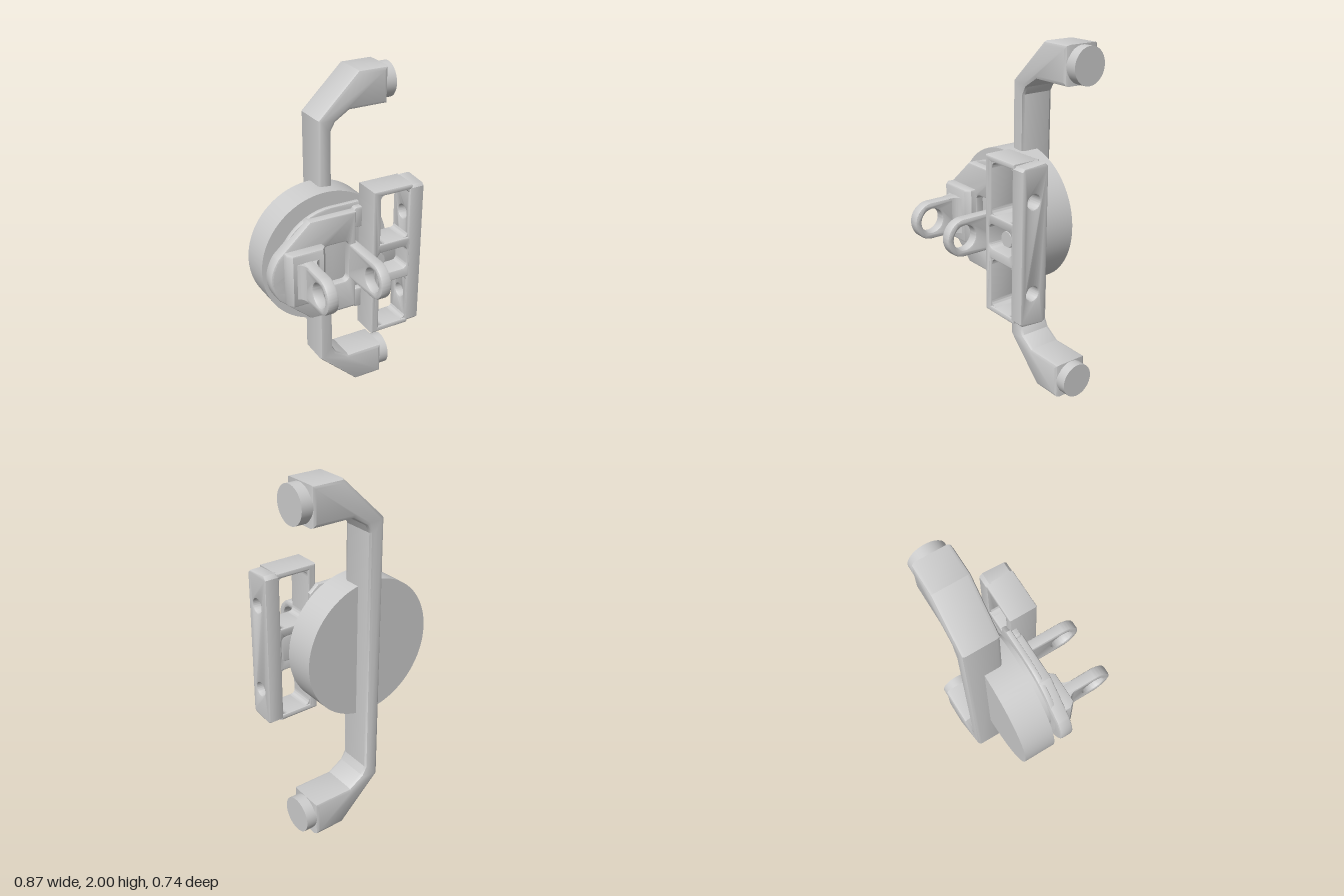
import * as THREE from 'three';
import { toCreasedNormals } from 'three/addons/utils/BufferGeometryUtils.js';

const CX = -0.046; // disc axis in x
const CY = 1;      // mirror height

export function createModel() {
  const model = new THREE.Group();
  const material = new THREE.MeshStandardMaterial({ color: 0xcccccc });

  const add = (name, geometry, x = 0, y = 0, z = 0) => {
    const mesh = new THREE.Mesh(geometry, material);
    mesh.name = name;
    mesh.position.set(x, y, z);
    model.add(mesh);
    return mesh;
  };
  const poly = (points) => new THREE.Shape(points.map(([x, y]) => new THREE.Vector2(x, y)));
  const circle = (x, y, r) => new THREE.Path().absarc(x, y, r, 0, Math.PI * 2, true);
  const roundRect = (x0, y0, x1, y1, r) => {
    const s = new THREE.Shape();
    s.absarc(x1 - r, y1 - r, r, 0, Math.PI / 2);
    s.absarc(x0 + r, y1 - r, r, Math.PI / 2, Math.PI);
    s.absarc(x0 + r, y0 + r, r, Math.PI, Math.PI * 1.5);
    s.absarc(x1 - r, y0 + r, r, Math.PI * 1.5, Math.PI * 2);
    s.closePath();
    return s;
  };
  // Extrude from a to b along z, with an inset edge bevel
  const slab = (shape, a, b, bevel = 0) => {
    const g = new THREE.ExtrudeGeometry(shape, {
      depth: b - a - 2 * bevel, curveSegments: 24, bevelEnabled: bevel > 0,
      bevelSize: bevel, bevelThickness: bevel, bevelOffset: -bevel, bevelSegments: 2,
    });
    g.translate(0, 0, a + bevel);
    return toCreasedNormals(g, 0.5);
  };
  // Shape drawn in (-z, y), extruded along x
  const slabX = (shape, a, b, bevel = 0) => slab(shape, a, b, bevel).rotateY(Math.PI / 2);
  // Shape drawn in (x, z), extruded along y
  const slabY = (shape, a, b, bevel = 0) => slab(shape, -b, -a, bevel).rotateX(Math.PI / 2);

  // Long handle with bent ends
  const half = [[0.035, 1.695], [0.06, 1.74], [0.145, 1.793], [0.38, 1.793],
    [0.38, 2], [0.2, 2], [-0.045, 1.765]];
  const lower = half.map(([x, y]) => [x, 2 * CY - y]).reverse();
  add('handle', slab(poly([...half, ...lower]), -0.37, -0.16, 0.02));
  for (const s of [-1, 1]) {
    const pad = new THREE.CylinderGeometry(0.1, 0.1, 0.067, 48).rotateZ(Math.PI / 2);
    add(s > 0 ? 'upperPad' : 'lowerPad', pad, 0.4035, CY + s * 0.895, -0.265);
  }

  // Stacked discs
  const disc = (name, r, z0, z1) => add(name,
    new THREE.CylinderGeometry(r, r, z1 - z0, 72).rotateX(Math.PI / 2), CX, CY, (z0 + z1) / 2);
  disc('mainDisc', 0.391, -0.27, -0.09);
  disc('spacerDisc', 0.285, -0.095, -0.04);

  // Base plate, round on one side
  const base = new THREE.Shape();
  base.absarc(CX, CY, 0.333, Math.PI / 2, Math.PI * 1.5);
  base.lineTo(0.12, CY - 0.333);
  base.lineTo(0.17, CY - 0.29);
  base.lineTo(0.17, CY + 0.29);
  base.lineTo(0.12, CY + 0.333);
  add('basePlate', slab(base, -0.045, -0.015, 0.006));

  // Raised plate with a pointed nose and a square pocket
  const raised = new THREE.Shape();
  raised.moveTo(0.08, CY - 0.3);
  raised.lineTo(0.08, CY + 0.3);
  raised.lineTo(-0.2, CY + 0.3);
  raised.lineTo(-0.39, CY + 0.13);
  raised.quadraticCurveTo(-0.484, CY, -0.39, CY - 0.13);
  raised.lineTo(-0.2, CY - 0.3);
  raised.closePath();
  raised.holes.push(roundRect(-0.125, 0.88, 0.035, 1.13, 0.03));
  add('raisedPlate', slab(raised, -0.045, 0.03, 0.012));

  // Lugs with eyes
  const lug = (name, x0, x1, z0) => {
    const s = new THREE.Shape();
    s.moveTo(-z0, CY - 0.107);
    s.lineTo(-z0, CY + 0.107);
    s.lineTo(-0.262, CY + 0.107);
    s.absarc(-0.262, CY, 0.107, Math.PI / 2, Math.PI * 1.5);
    s.closePath();
    s.holes.push(circle(-0.262, CY, 0.068));
    add(name, slabX(s, x0, x1, 0.012));
  };
  lug('outerLug', -0.28, -0.215, 0.06);
  lug('innerLug', 0.038, 0.1, -0.03);

  // Chamfered foot and flare of the outer lug
  add('lugFoot', slabY(poly([[-0.36, 0.02], [-0.13, 0.02], [-0.13, 0.06],
    [-0.155, 0.09], [-0.335, 0.09], [-0.36, 0.06]]), 0.845, 1.16, 0.012));
  const flare = new THREE.Shape();
  flare.moveTo(-0.335, 0.085);
  flare.lineTo(-0.16, 0.085);
  flare.quadraticCurveTo(-0.215, 0.09, -0.217, 0.15);
  flare.lineTo(-0.278, 0.15);
  flare.quadraticCurveTo(-0.28, 0.09, -0.335, 0.085);
  add('lugFlare', slabY(flare, 0.895, 1.105));

  // Window frame: comb-shaped body closed by a drilled side wall
  const comb = poly([
    [0.118, 0.562], [0.36, 0.562], [0.36, 0.593], [0.165, 0.593], [0.165, 0.875], [0.36, 0.875],
    [0.36, 1.125], [0.165, 1.125], [0.165, 1.413], [0.36, 1.413], [0.36, 1.444], [0.118, 1.444],
  ]);
  comb.holes.push(roundRect(0.15, 0.935, 0.34, 1.072, 0.03));
  add('frameBody', slab(comb, -0.02, 0.145, 0.01));
  const wall = poly([[-0.145, 0.585], [-0.13, 0.57], [0, 0.56], [0.02, 0.575],
    [0.02, 1.425], [0, 1.445], [-0.13, 1.435], [-0.145, 1.42]]);
  for (const s of [-1, 1]) wall.holes.push(circle(-0.07, CY + s * 0.253, 0.04));
  add('frameSideWall', slabX(wall, 0.345, 0.43, 0.008));

  // Rounded fillets in the window corners
  const fillet = new THREE.Shape();
  fillet.moveTo(0, 0);
  fillet.lineTo(0.035, 0);
  fillet.quadraticCurveTo(0, 0, 0, 0.035);
  fillet.closePath();
  for (const [y0, y1] of [[0.593, 0.875], [1.125, 1.413]]) {
    [[0.165, y0, 0], [0.347, y0, 1], [0.347, y1, 2], [0.165, y1, 3]].forEach(([x, y, q]) => {
      add('windowFillet', slab(fillet, -0.01, 0.135), x, y).rotation.z = q * Math.PI / 2;
    });
  }

  // Link from plate to frame, with its screw
  add('linkArm', slab(roundRect(0.04, 0.925, 0.345, 1.08, 0.02), -0.02, 0.03, 0.008));
  add('screw', new THREE.CylinderGeometry(0.045, 0.05, 0.04, 32).rotateX(Math.PI / 2), 0.2, 0.975, 0.045);

  // Hinge tabs behind the frame
  for (const s of [-1, 1]) {
    add(s > 0 ? 'upperTab' : 'lowerTab',
      slab(roundRect(0.07, CY + s * 0.255 - 0.06, 0.14, CY + s * 0.255 + 0.06, 0.02), -0.03, 0.02, 0.006));
  }
  return model;
}
